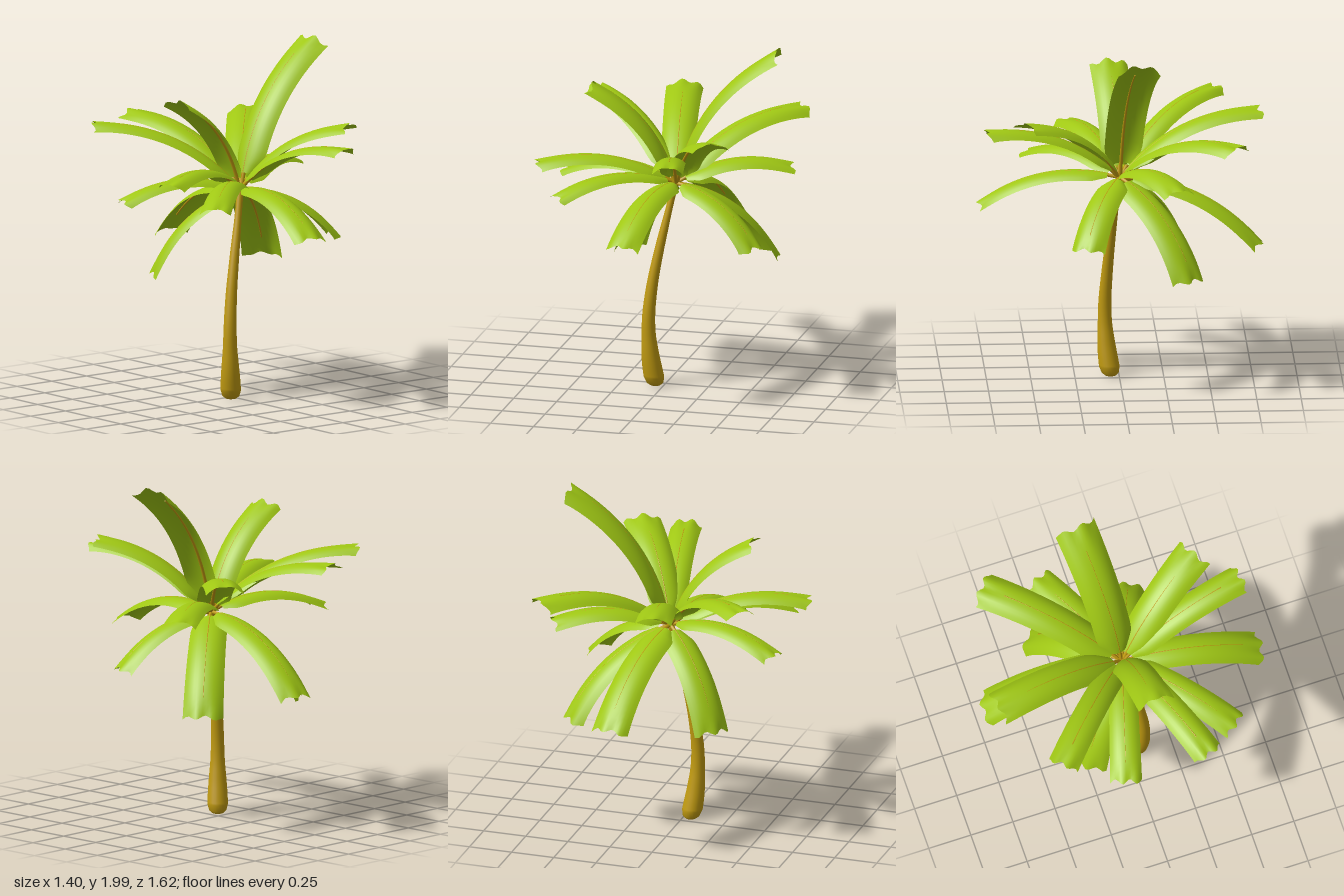
import * as THREE from 'three';
import { mergeVertices } from 'three/addons/utils/BufferGeometryUtils.js';

const leafMaterial = new THREE.MeshStandardMaterial({ color: 0xa0c814, side: THREE.DoubleSide });
const woodMaterial = new THREE.MeshStandardMaterial({ color: 0xc09a10 });
const CROWN = new THREE.Vector3(0.06, 1.2, 0);

// Frond tips: x, y, z, half width
const FRONDS = [
  [-0.1, 1.55, -0.785, 0.105], [0.17, 0.835, -0.79, 0.11], [0.62, 1.51, -0.645, 0.108],
  [0.65, 1.265, -0.31, 0.1], [0.62, 1.985, -0.08, 0.122], [0.585, 0.91, 0.215, 0.1],
  [0.405, 1.6, 0.54, 0.108], [0.215, 1.51, 0.755, 0.088], [-0.05, 1.035, 0.79, 0.1],
  [-0.51, 1.21, 0.485, 0.088], [-0.675, 1.34, 0.275, 0.09], [-0.41, 1.75, 0.04, 0.108],
  [-0.63, 1.175, -0.205, 0.09], [-0.55, 1.56, -0.555, 0.09], [-0.315, 0.71, -0.335, 0.108],
  [0.54, 0.71, -0.39, 0.115],
];

// Lathed trunk, sheared along a leaning spine
function makeTrunk() {
  const profile = [[0, 0.006], [0.03, 0.01], [0.048, 0.025], [0.058, 0.06], [0.055, 0.13], [0.048, 0.22],
    [0.04, 0.32], [0.035, 0.5], [0.03, 0.7], [0.025, 0.9], [0.02, 1.05], [0.02, 1.19], [0, 1.21]];
  const curve = new THREE.SplineCurve(profile.slice(3, 12).map(p => new THREE.Vector2(...p)));
  const points = [...profile.slice(0, 3).map(p => new THREE.Vector2(...p)),
    ...curve.getPoints(32), new THREE.Vector2(...profile[12])];
  const spine = new THREE.CatmullRomCurve3([
    [-0.045, 0, 0.047], [-0.07, 0.2, 0.072], [-0.078, 0.4, 0.08], [-0.06, 0.6, 0.068],
    [-0.025, 0.8, 0.05], [0.017, 1.0, 0.028], [0.06, 1.2, 0],
  ].map(p => new THREE.Vector3(...p)));
  let geometry = new THREE.LatheGeometry(points, 24);
  const pos = geometry.attributes.position;
  for (let i = 0; i < pos.count; i++) {
    const c = spine.getPoint(Math.min(1, pos.getY(i) / 1.2));
    pos.setXYZ(i, pos.getX(i) + c.x, pos.getY(i), pos.getZ(i) + c.z);
  }
  geometry.deleteAttribute('uv');
  geometry.deleteAttribute('normal');
  geometry = mergeVertices(geometry, 1e-5);
  geometry.computeVertexNormals();
  const trunk = new THREE.Mesh(geometry, woodMaterial);
  trunk.name = 'trunk';
  return trunk;
}

// Arched midline from the crown to a tip, with its sideways direction
function makePath(tip) {
  const chord = tip.clone().sub(CROWN);
  const side = new THREE.Vector3(chord.z, 0, -chord.x).normalize();
  const up = chord.clone().cross(side).normalize();
  const at = t => CROWN.clone().addScaledVector(chord, t)
    .addScaledVector(up, 0.46 * chord.length() * t * (1 - t));
  const frame = t => {
    const along = at(t + 0.01).sub(at(t - 0.01)).normalize();
    return { point: at(t), along, up: along.clone().cross(side).normalize() };
  };
  return { frame, side };
}

// Blade: pinched at the stalk, edges rolled down, ragged at the end
function makeBlade(path, halfWidth, seed) {
  const rows = 20, cols = 12, start = 0.08, positions = [], indices = [];
  for (let i = 0; i <= rows; i++) {
    const s = i / rows;
    const t = start + (1 - start) * s;
    const { point, along, up } = path.frame(t);
    const width = halfWidth * (0.4 + 0.6 * THREE.MathUtils.smoothstep(t, 0.05, 0.2)) * (0.86 + 0.14 * t);
    for (let j = 0; j <= cols; j++) {
      const u = (j / cols) * 2 - 1;
      const wave = Math.sin(j * 1.15 + seed * 2.3);
      const ragged = i === rows ? 0.014 * wave : 0;
      const ripple = 0.007 * s ** 12 * wave;
      const p = point.clone().addScaledVector(path.side, u * width)
        .addScaledVector(up, ripple - 0.42 * width * Math.abs(u) ** 2.5)
        .addScaledVector(along, ragged);
      positions.push(p.x, p.y, p.z);
      if (i < rows && j < cols) {
        const a = i * (cols + 1) + j, b = a + cols + 1;
        indices.push(a, b, a + 1, b, b + 1, a + 1);
      }
    }
  }
  const geometry = new THREE.BufferGeometry();
  geometry.setAttribute('position', new THREE.Float32BufferAttribute(positions, 3));
  geometry.setIndex(indices);
  geometry.computeVertexNormals();
  const blade = new THREE.Mesh(geometry, leafMaterial);
  blade.name = 'blade';
  return blade;
}

// Tapered stalk that runs on as a rib along the underside of the blade
function makeRib(path) {
  const geometry = new THREE.CylinderGeometry(1, 1, 1, 8, 20);
  const pos = geometry.attributes.position;
  for (let i = 0; i < pos.count; i++) {
    const s = pos.getY(i) + 0.5;
    const { point, up } = path.frame(0.86 * s);
    const radius = 0.011 - 0.007 * s;
    point.addScaledVector(path.side, -pos.getX(i) * radius)
      .addScaledVector(up, (pos.getZ(i) - 0.9) * radius);
    pos.setXYZ(i, point.x, point.y, point.z);
  }
  geometry.computeVertexNormals();
  const rib = new THREE.Mesh(geometry, woodMaterial);
  rib.name = 'midrib';
  return rib;
}

export function createModel() {
  const palm = new THREE.Group();
  palm.name = 'palmTree';
  palm.add(makeTrunk());

  FRONDS.forEach(([x, y, z, halfWidth], i) => {
    const path = makePath(new THREE.Vector3(x, y, z));
    const frond = new THREE.Group();
    frond.name = `frond${i + 1}`;
    frond.add(makeBlade(path, halfWidth, i), makeRib(path));
    palm.add(frond);
  });
  return palm;
}
